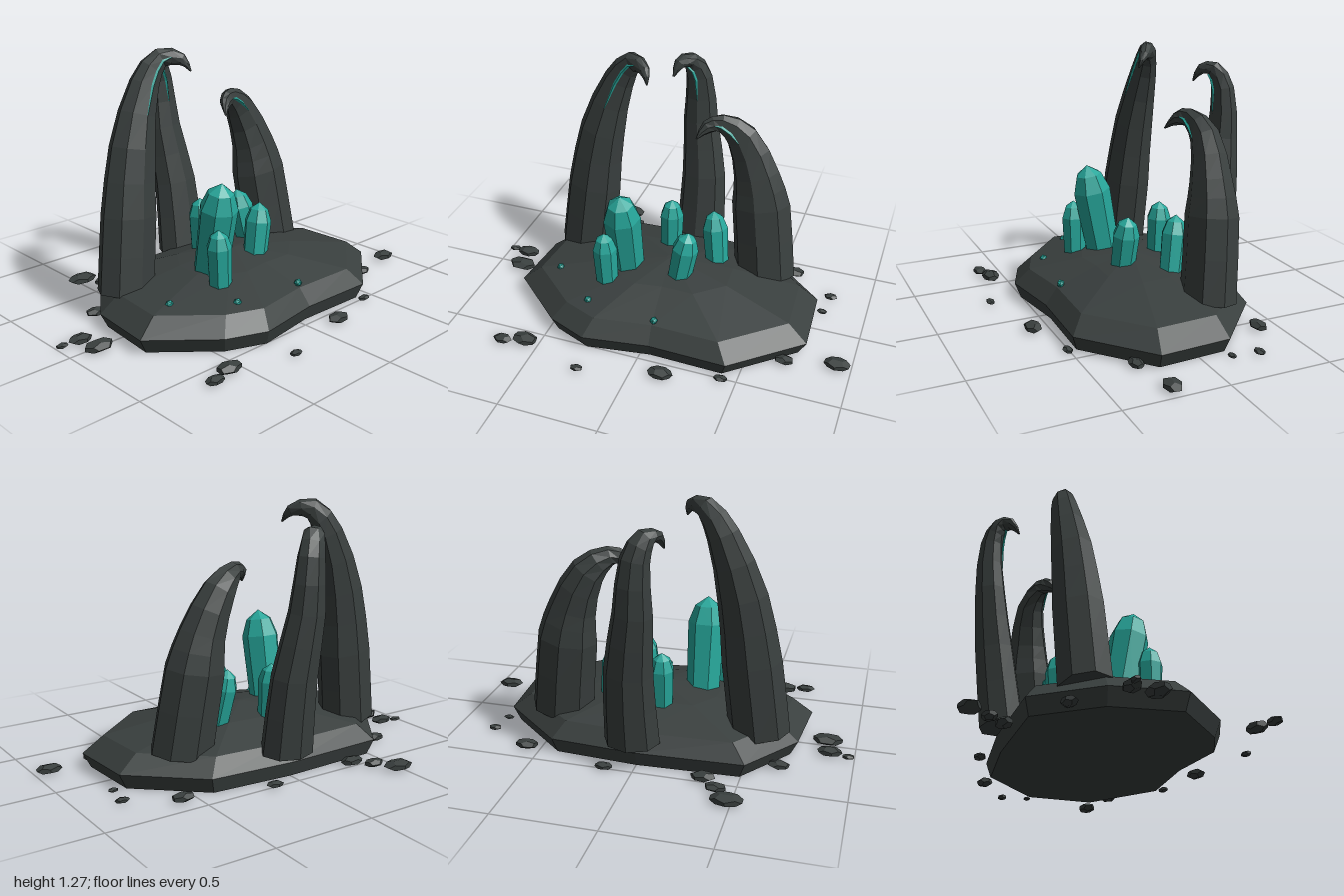
import * as THREE from 'three';

const V = (x, y, z) => new THREE.Vector3(x, y, z);

// Skins a closed surface over rings of points, with fan caps at both ends.
function skin(rings) {
  const pos = [];
  const tri = (...p) => p.forEach(v => pos.push(v.x, v.y, v.z));
  const n = rings[0].length;
  const mid = r => r.reduce((s, p) => s.add(p), V(0, 0, 0)).divideScalar(n);
  const first = rings[0], last = rings[rings.length - 1], c0 = mid(first), c1 = mid(last);
  for (let j = 0; j < n; j++) {
    const k = (j + 1) % n;
    for (let i = 0; i < rings.length - 1; i++) {
      const a = rings[i], b = rings[i + 1];
      tri(a[j], a[k], b[k]);
      tri(a[j], b[k], b[j]);
    }
    tri(c0, first[k], first[j]);
    tri(c1, last[j], last[k]);
  }
  const g = new THREE.BufferGeometry();
  g.setAttribute('position', new THREE.Float32BufferAttribute(pos, 3));
  g.computeVertexNormals();
  return g;
}

// Elliptical rings along a bent line of points; side is the axis the bend turns about.
function ringsAlong(pts, radii, side, ratio, sides) {
  return pts.map((p, i) => {
    const t = pts[Math.min(i + 1, pts.length - 1)].clone().sub(pts[Math.max(i - 1, 0)]).normalize();
    const b = side.clone().addScaledVector(t, -side.dot(t)).normalize();
    const a = b.clone().cross(t);
    return Array.from({ length: sides }, (_, j) => {
      const w = j / sides * Math.PI * 2;
      return p.clone().addScaledVector(a, radii[i] * Math.cos(w))
        .addScaledVector(b, radii[i] * ratio * Math.sin(w));
    });
  });
}

export function createModel() {
  const root = new THREE.Group();
  const stone = new THREE.MeshStandardMaterial({ color: 0x393f3e, flatShading: true });
  stone.name = 'dark stone';
  const teal = new THREE.MeshStandardMaterial({ color: 0x26a69a, flatShading: true });
  teal.name = 'teal crystal';
  const add = (name, geo, mat) => {
    const m = new THREE.Mesh(geo, mat);
    m.name = name;
    root.add(m);
    return m;
  };

  // Faceted mound: one outline repeated at [scale, height]
  const outline = [[-.28, .53], [.05, .48], [.44, .49], [.77, .21], [.75, -.14], [.43, -.42],
    [0, -.45], [-.52, -.43], [-.73, -.14], [-.76, .2], [-.48, .45]];
  const levels = [[.95, 0], [1, .075], [.87, .155], [.42, .225], [.03, .262]];
  add('mound', skin(levels.map(([s, y]) => outline.map(([x, z]) => V(x * s, y, z * s)))), stone);

  // Hooked claw from spine rows [x, y, z, radius], with a glowing streak near the tip
  function claw(name, side, ratio, edge, start, rows) {
    const curve = new THREE.CatmullRomCurve3(rows.map(([x, y, z]) => V(x, y, z)));
    const radii = Array.from({ length: rows.length * 2 - 1 }, (_, i) =>
      (rows[Math.floor(i / 2)][3] + rows[Math.ceil(i / 2)][3]) / 2);
    const rings = ringsAlong(curve.getPoints(radii.length - 1), radii, side, ratio, 8);
    add(name, skin(rings), stone);
    const path = rings.slice(start, 10).map(r => r[edge]);
    const widths = path.map((_, i) => (i === 0 || i === path.length - 1 ? .002 : .008));
    add(name + 'Streak', skin(ringsAlong(path, widths, side, 1, 4)), teal);
  }
  claw('rightClaw', V(0, 0, 1), .82, 2, 5, [[-.545, .13, -.18, .15], [-.5, .5, -.2, .145],
    [-.45, .82, -.22, .12], [-.355, 1.11, -.235, .078], [-.27, 1.225, -.215, .052],
    [-.19, 1.215, -.155, .03], [-.165, 1.16, -.118, .004]]);
  claw('leftClaw', V(0, 0, 1), .8, 2, 6, [[.45, .14, -.19, .16], [.4, .54, -.23, .152],
    [.365, .7, -.24, .12], [.28, .89, -.25, .085], [.18, .965, -.22, .048],
    [.12, .95, -.185, .034], [.08, .9, -.14, .004]]);
  claw('backClaw', V(1, 0, 0), 1.3, 0, 5, [[.02, .13, -.425, .105], [.02, .5, -.475, .092],
    [-.015, .8, -.515, .073], [-.03, 1.05, -.522, .054], [-.07, 1.145, -.49, .04],
    [-.11, 1.14, -.44, .025], [-.13, 1.08, -.405, .004]]);

  // Leaning crystals: base x, base z, tip x, tip y, tip z, radius
  const crystals = [
    [-.215, .06, -.215, .675, .15, .095],
    [-.275, .2, -.285, .475, .2, .062],
    [.065, .085, .115, .485, .07, .068],
    [-.06, -.17, -.06, .485, -.185, .062],
    [.215, -.11, .175, .485, -.16, .066],
  ];
  for (const [x, z, tx, ty, tz, r] of crystals) {
    const base = V(x, .18, z), axis = V(tx, ty, tz).sub(base), h = axis.length();
    const profile = [[0, 0], [r * .9, 0], [r, h - r * 1.4], [r * .68, h - r * .5], [0, h]]
      .map(p => new THREE.Vector2(...p));
    const m = add('crystal', new THREE.LatheGeometry(profile, 7), teal);
    m.position.copy(base);
    m.quaternion.setFromUnitVectors(V(0, 1, 0), axis.normalize());
  }

  // Tiny gems set in the mound
  for (const [x, z] of [[-.555, .16], [-.315, .36], [.05, .4]]) {
    add('gem', new THREE.IcosahedronGeometry(.02, 0), teal).position.set(x, .173, z);
  }

  // Scattered flat rocks: x, z, half width
  const rocks = [[-.48, -.65, .08], [-.41, -.555, .055], [-.335, -.48, .062], [-.66, -.28, .055],
    [-.97, -.105, .033], [-.88, -.09, .062], [-.86, .025, .078], [-.68, .605, .05],
    [-.57, .575, .068], [-.25, .67, .034], [.145, .58, .064], [.425, .51, .036], [.93, .24, .066],
    [.68, .29, .052], [.8, -.265, .036], [.78, -.135, .027], [.57, -.4, .06], [.14, -.5, .045]];
  rocks.forEach(([x, z, w], i) => {
    const g = new THREE.DodecahedronGeometry(1, 0);
    g.rotateY(i * 1.3);
    const h = Math.min(.024, w * .35);
    const m = add('rock', g, stone);
    m.scale.set(w, h, w * .66);
    m.position.set(x, h * .93, z);
  });
  return root;
}
